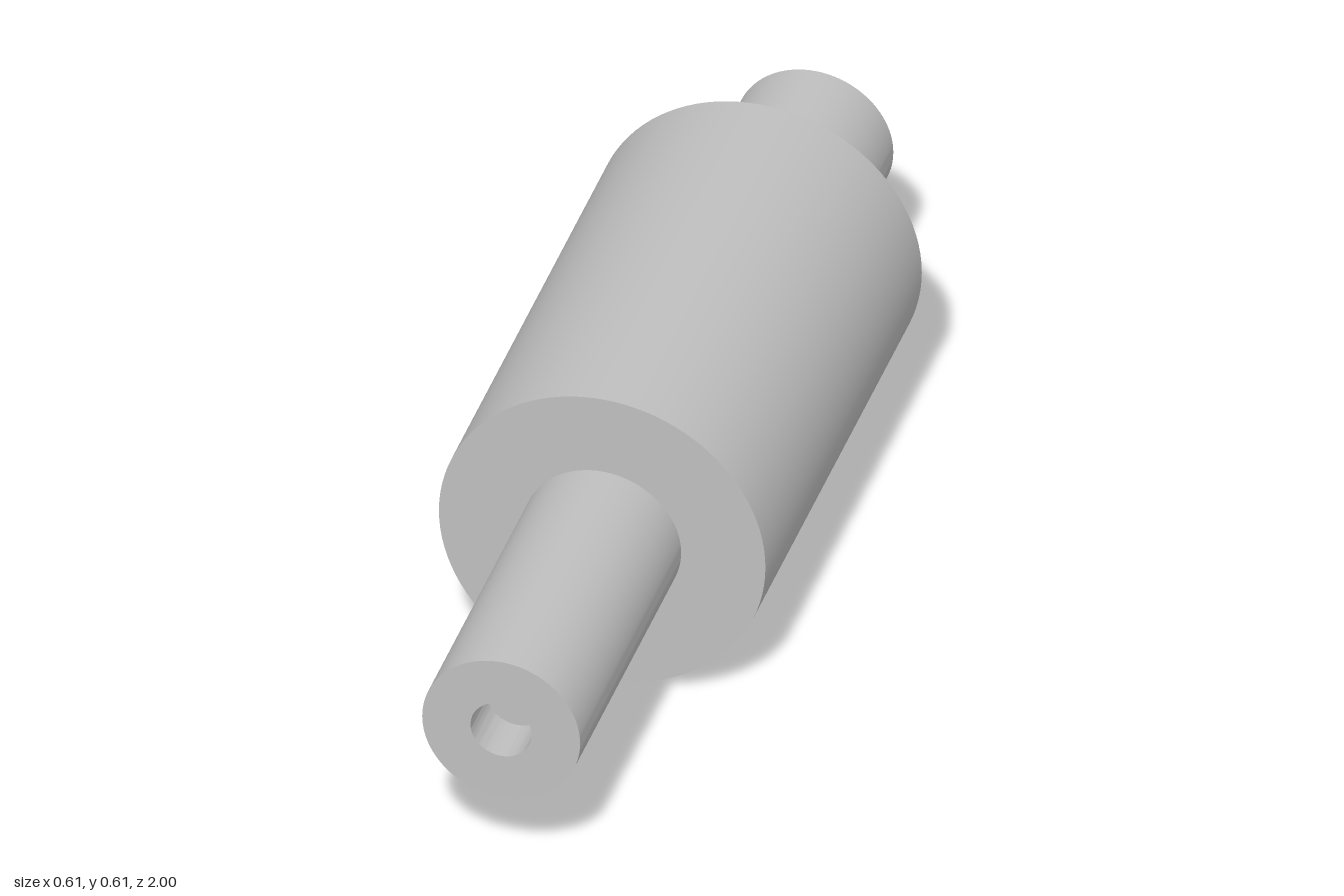
import * as THREE from 'three';
import { toCreasedNormals } from 'three/addons/utils/BufferGeometryUtils.js';

const BODY_R = 0.304, JOURNAL_R = 0.147, PIN_R = 0.057;

export function createModel() {
  const model = new THREE.Group();
  model.name = 'rollerShaft';
  const steel = new THREE.MeshStandardMaterial({ color: 0xbfbfbf });
  steel.name = 'steelGrey';

  // Turned part: [radius, z] profile running from back to front along the shaft axis
  function turned(name, profile) {
    const points = profile.map(([r, z]) => new THREE.Vector2(r, z));
    const lathe = new THREE.LatheGeometry(points, 96).rotateX(Math.PI / 2);
    const mesh = new THREE.Mesh(toCreasedNormals(lathe, 0.6), steel);
    mesh.name = name;
    mesh.position.y = BODY_R;
    model.add(mesh);
  }

  // Locating pin at the back end
  turned('pin', [[0, -1], [PIN_R, -1], [PIN_R, -0.913]]);

  // Short rear journal with its shoulder around the pin
  turned('rearJournal', [[PIN_R, -0.913], [JOURNAL_R, -0.913], [JOURNAL_R, -0.572]]);

  // Thick roller body with ring-shaped end faces
  turned('rollerBody', [
    [JOURNAL_R, -0.572], [BODY_R, -0.572], [BODY_R, 0.383], [JOURNAL_R, 0.383],
  ]);

  // Long front journal with a blind bore matching the pin
  turned('frontJournal', [
    [JOURNAL_R, 0.383], [JOURNAL_R, 1], [PIN_R, 1], [PIN_R, 0.9], [0, 0.9],
  ]);

  return model;
}
